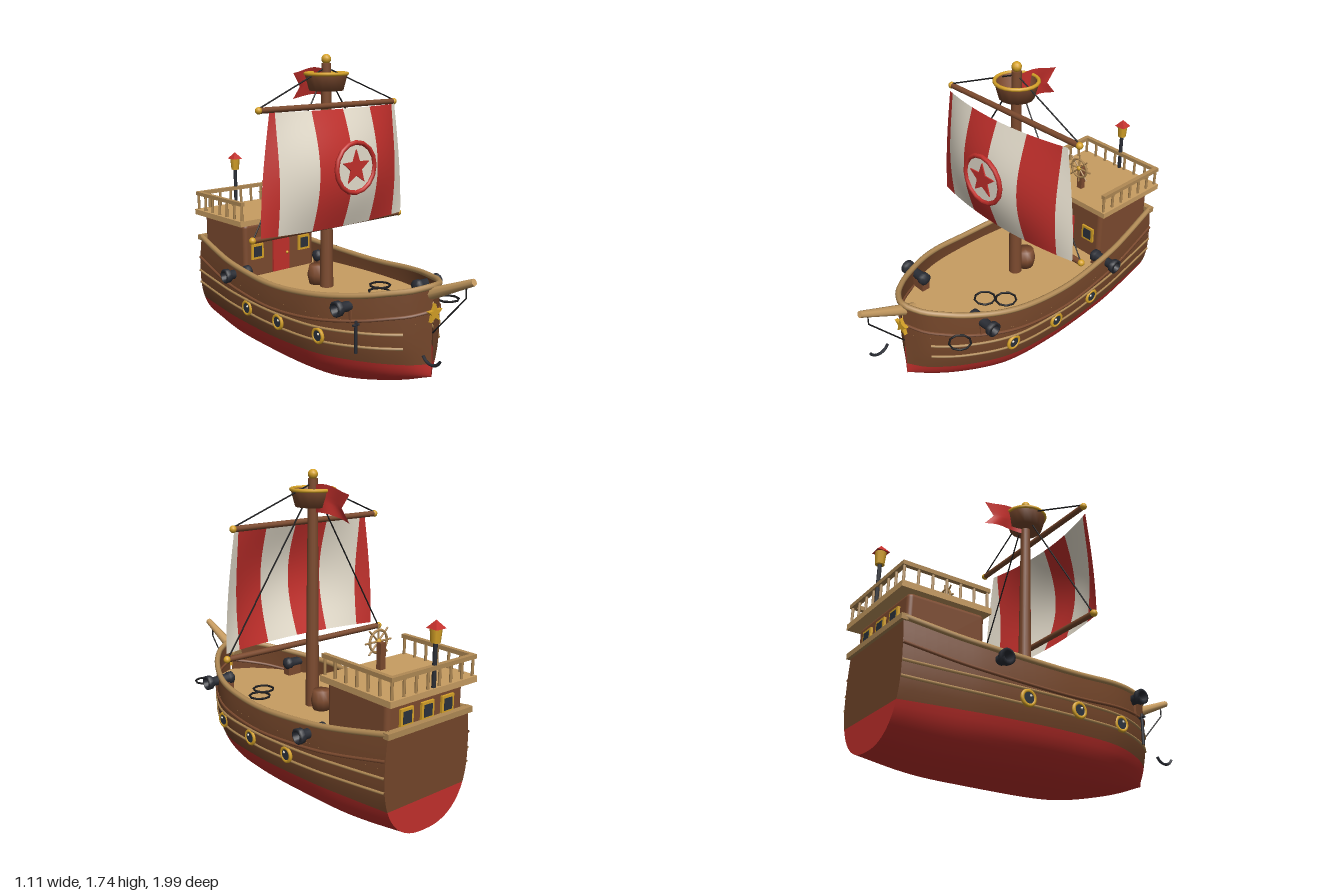
import * as THREE from 'three';
import { RoundedBoxGeometry } from 'three/addons/geometries/RoundedBoxGeometry.js';

const V = (x, y, z) => new THREE.Vector3(x, y, z);
const mat = (color) => new THREE.MeshStandardMaterial({ color, side: THREE.DoubleSide });

// Hull stations from bow to stern: z, half width, rail height, keel height
const STATIONS = [
  [0.735, 0.005, 0.625, 0.15], [0.68, 0.11, 0.605, 0.13], [0.6, 0.19, 0.59, 0.1], [0.5, 0.26, 0.57, 0.07],
  [0.35, 0.335, 0.55, 0.035], [0.2, 0.375, 0.535, 0.01], [0, 0.388, 0.52, 0], [-0.2, 0.386, 0.52, 0],
  [-0.5, 0.36, 0.54, 0], [-0.7, 0.33, 0.565, 0.01], [-0.95, 0.29, 0.61, 0.045],
];
const topCurve = new THREE.CatmullRomCurve3(STATIONS.map(([z, w, s]) => V(w, s, z)), false, 'catmullrom');
const keelCurve = new THREE.CatmullRomCurve3(STATIONS.map(([z, , , k]) => V(0, k, z)), false, 'catmullrom');
const station = (t) => {
  const p = topCurve.getPoint(t);
  return { z: p.z, w: p.x, sheer: p.y, keel: Math.max(0, keelCurve.getPoint(t).y) };
};
const WATERLINE = 0.22, DECK = 0.44;

// Half width of the hull at a station and height: round bilge, slight tumblehome
function halfWidth(s, y) {
  if (y > 0.4) return s.w * (1 - 1.2 * (y - 0.4) ** 2);
  const q = Math.min(1, (0.4 - y) / (0.4 - s.keel));
  return s.w * (1 - q ** 2.4) ** (1 / 2.4);
}
function tAtZ(z) {
  let a = 0, b = 1;
  for (let i = 0; i < 30; i++) {
    const m = (a + b) / 2;
    if (station(m).z > z) a = m; else b = m;
  }
  return a;
}

// Smooth surface from fn(u, v); faces point along du x dv
function grid(nu, nv, fn) {
  const pos = [], index = [];
  for (let i = 0; i <= nu; i++) for (let j = 0; j <= nv; j++) pos.push(...fn(i / nu, j / nv));
  for (let i = 0; i < nu; i++) for (let j = 0; j < nv; j++) {
    const a = i * (nv + 1) + j, b = a + nv + 1;
    index.push(a, b, b + 1, a, b + 1, a + 1);
  }
  const g = new THREE.BufferGeometry();
  g.setAttribute('position', new THREE.Float32BufferAttribute(pos, 3));
  g.setIndex(index);
  g.computeVertexNormals();
  return g;
}

function starShape(r) {
  const s = new THREE.Shape();
  for (let i = 0; i < 10; i++) {
    const a = Math.PI / 2 + (i * Math.PI) / 5, q = i % 2 ? r * 0.42 : r;
    s[i ? 'lineTo' : 'moveTo'](q * Math.cos(a), q * Math.sin(a));
  }
  return s;
}

export function createModel() {
  const ship = new THREE.Group();
  ship.name = 'sailingShip';
  const wood = mat(0x7d4b2f), hullWood = mat(0x74462a), tan = mat(0xc89d62), trim = mat(0xb18a55), red = mat(0xc4302c),
    cream = mat(0xe8e0cf), gold = mat(0xd6a227), iron = mat(0x2a2d35), rope = mat(0x1c1c1e), glass = mat(0x2b323c);

  const add = (name, geo, m, x = 0, y = 0, z = 0, rx = 0, ry = 0, rz = 0) => {
    const mesh = new THREE.Mesh(geo, m);
    mesh.name = name;
    mesh.position.set(x, y, z);
    mesh.rotation.set(rx, ry, rz);
    ship.add(mesh);
    return mesh;
  };
  const box = (name, w, h, d, m, x, y, z) => add(name, new THREE.BoxGeometry(w, h, d), m, x, y, z);
  const ball = (name, r, m, x, y, z) => add(name, new THREE.SphereGeometry(r, 12, 8), m, x, y, z);
  // Round bar between two points
  const bar = (name, a, b, ra, rb, m, sides = 10) => {
    const mesh = add(name, new THREE.CylinderGeometry(rb, ra, a.distanceTo(b), sides), m);
    mesh.position.lerpVectors(a, b, 0.5);
    mesh.quaternion.setFromUnitVectors(V(0, 1, 0), b.clone().sub(a).normalize());
    return mesh;
  };
  const tube = (name, pts, r, m, sides = 6) =>
    add(name, new THREE.TubeGeometry(new THREE.CatmullRomCurve3(pts), pts.length * 2, r, sides), m);

  // Hull skin: red bottom, wooden sides, flat transom
  add('hullBottom', grid(48, 24, (u, v) => {
    const s = station(u), k = 2 * v - 1, y = s.keel + (WATERLINE - s.keel) * k * k;
    return [Math.sign(k) * halfWidth(s, y), y, s.z];
  }), red);
  for (const side of [1, -1]) add('hullSide', grid(48, 8, (u, v) => {
    const s = station(u), y = WATERLINE + (s.sheer - WATERLINE) * (side > 0 ? v : 1 - v);
    return [side * halfWidth(s, y), y, s.z];
  }), hullWood);
  const stern = station(1);
  const transom = (name, y0, y1, m) => add(name, grid(2, 14, (u, v) => {
    const y = y0 + (y1 - y0) * v * v;
    return [(1 - 2 * u) * halfWidth(stern, y), y, stern.z];
  }), m);
  transom('transomBottom', stern.keel, WATERLINE, red);
  transom('transom', WATERLINE, stern.sheer, hullWood);
  add('deck', grid(40, 2, (u, v) => {
    const s = station(u);
    return [(2 * v - 1) * halfWidth(s, DECK), DECK, s.z];
  }), tan);

  // Rail cap around the hull and mouldings along the sides
  const along = (side, t0, t1, yOf, n = 24) => Array.from({ length: n + 1 }, (_, i) => {
    const s = station(t0 + ((t1 - t0) * i) / n), y = yOf(s);
    return V(side * halfWidth(s, y), y, s.z);
  });
  const sheer = (s) => s.sheer + 0.005;
  tube('railCap', [...along(1, 1, 0.02, sheer), ...along(-1, 0.02, 1, sheer)], 0.016, trim, 8);
  box('sternRail', 0.58, 0.03, 0.035, trim, 0, 0.61, -0.95);
  for (const side of [1, -1]) {
    tube('upperMoulding', along(side, 0, 1, (s) => s.sheer - 0.125), 0.009, wood);
    for (const y of [0.375, 0.3])
      tube('strake', along(side, tAtZ(0.66), 1, (s) => y + 0.03 * (s.z * s.z - 0.1)), 0.008, trim);
    // Portholes
    for (const z of [0.275, -0.025, -0.325]) {
      const x = side * (halfWidth(station(tAtZ(z)), 0.33) + 0.004);
      add('portholeRim', new THREE.TorusGeometry(0.036, 0.01, 8, 18), gold, x, 0.33, z, 0, Math.PI / 2);
      add('portholeGlass', new THREE.CylinderGeometry(0.034, 0.034, 0.012, 18), glass, x, 0.33, z, 0, 0, Math.PI / 2);
      ball('portholeGlint', 0.007, cream, x + side * 0.006, 0.342, z + 0.01);
    }
    // Cannons pointing outboard
    const profile = [[0, -0.1], [0.02, -0.098], [0.036, -0.085], [0.036, -0.06], [0.03, -0.055], [0.026, 0.05],
      [0.04, 0.058], [0.042, 0.085], [0.026, 0.09], [0.022, 0.04], [0, 0.04]].map(([x, y]) => new THREE.Vector2(x, y));
    for (const [x, y, z] of [[0.29, 0.512, 0.425], [0.34, 0.49, -0.475]]) {
      add('cannon', new THREE.LatheGeometry(profile, 14), iron, side * x, y, z, 0, 0, (-side * Math.PI) / 2);
      box('cannonMount', 0.09, y - DECK, 0.05, wood, side * (x - 0.04), (y + DECK) / 2 - 0.015, z);
    }
  }

  // Bow: bowsprit, its stay, star ornament
  bar('bowsprit', V(0, 0.56, 0.66), V(0, 0.705, 0.985), 0.033, 0.018, tan, 8);
  bar('bowspritStay', V(0, 0.67, 0.94), V(0, 0.615, 0.94), 0.004, 0.004, rope, 6);
  bar('bowspritStay', V(0, 0.615, 0.94), V(0, 0.385, 0.735), 0.004, 0.004, rope, 6);
  add('bowStar', new THREE.ExtrudeGeometry(starShape(0.052), { depth: 0.02, bevelEnabled: false }), gold, 0, 0.49, 0.733);

  // Anchor and coiled ropes
  bar('anchorShank', V(-0.295, 0.28, 0.49), V(-0.295, 0.45, 0.49), 0.008, 0.008, iron, 8);
  bar('anchorStock', V(-0.315, 0.43, 0.49), V(-0.275, 0.43, 0.49), 0.007, 0.007, iron, 8);
  add('anchorArms', new THREE.TorusGeometry(0.062, 0.008, 6, 12, 2.2), iron, -0.11, 0.335, 0.83, 0, Math.PI / 2, Math.PI + 0.47);
  for (const [x, z] of [[0.1, 0.25], [0.185, 0.17], [0.285, 0.585]])
    add('ropeCoil', new THREE.TorusGeometry(0.058, 0.006, 6, 9), rope, x, 0.465, z, Math.PI / 2);

  // Stern cabin with door and windows
  add('cabin', new RoundedBoxGeometry(0.52, 0.34, 0.42, 3, 0.025), wood, 0, 0.59, -0.715);
  box('cabinDoor', 0.12, 0.21, 0.02, red, 0, 0.55, -0.503);
  ball('doorKnob', 0.009, gold, 0.04, 0.55, -0.49);
  const windowAt = (x, y, z, dir) => {
    box('windowFrame', 0.085, 0.09, 0.02, gold, x, y, z);
    box('windowPane', 0.056, 0.062, 0.008, glass, x, y, z + dir * 0.009);
  };
  for (const x of [-0.175, 0.175]) windowAt(x, 0.59, -0.503, 1);
  for (const x of [-0.14, 0, 0.14]) windowAt(x, 0.665, -0.928, -1);

  // Poop deck and railing
  box('poopDeck', 0.59, 0.032, 0.49, tan, 0, 0.77, -0.735);
  const post = (x, z) => bar('railPost', V(x, 0.78, z), V(x, 0.885, z), 0.008, 0.008, trim, 6);
  for (const side of [1, -1]) {
    box('sideRail', 0.025, 0.022, 0.48, trim, side * 0.275, 0.885, -0.735);
    for (let i = 0; i < 7; i++) post(side * 0.275, -0.505 - i * 0.0767);
  }
  box('backRail', 0.575, 0.022, 0.025, trim, 0, 0.885, -0.965);
  for (let i = 1; i < 7; i++) post(-0.275 + (i * 0.55) / 7, -0.965);

  // Steering wheel
  box('wheelPost', 0.035, 0.14, 0.03, wood, 0, 0.855, -0.612);
  add('wheelRim', new THREE.TorusGeometry(0.058, 0.007, 6, 20), trim, 0, 0.925, -0.59);
  ball('wheelHub', 0.015, gold, 0, 0.925, -0.59);
  for (let i = 0; i < 4; i++) {
    const a = (i * Math.PI) / 4, d = V(Math.cos(a) * 0.088, Math.sin(a) * 0.088, 0), c = V(0, 0.925, -0.59);
    bar('wheelSpoke', c.clone().sub(d), c.clone().add(d), 0.005, 0.005, trim, 6);
  }

  // Stern lantern
  bar('lanternPole', V(0, 0.78, -0.965), V(0, 1.01, -0.965), 0.011, 0.011, iron, 8);
  add('lantern', new THREE.CylinderGeometry(0.03, 0.024, 0.07, 8), gold, 0, 1.04, -0.965);
  const roof = new THREE.ConeGeometry(0.047, 0.04, 4).toNonIndexed();
  roof.computeVertexNormals();
  add('lanternRoof', roof, red, 0, 1.094, -0.965, 0, Math.PI / 4);

  // Mast, barrel at its foot, crow's nest
  const MZ = -0.075;
  bar('mast', V(0, DECK, MZ), V(0, 1.69, MZ), 0.038, 0.026, wood, 14);
  ball('mastBall', 0.027, gold, 0, 1.712, MZ);
  const barrel = [[0, 0], [0.048, 0], [0.06, 0.055], [0.048, 0.11], [0, 0.11]].map(([x, y]) => new THREE.Vector2(x, y));
  add('barrel', new THREE.LatheGeometry(barrel, 12), wood, 0, DECK, -0.155);
  const nest = [[0, 0], [0.093, 0], [0.117, 0.09], [0.103, 0.09], [0.085, 0.02], [0, 0.02]].map(([x, y]) => new THREE.Vector2(x, y));
  add('crowsNest', new THREE.LatheGeometry(nest, 14), wood, 0, 1.545, MZ);
  add('nestRim', new THREE.TorusGeometry(0.114, 0.01, 8, 20), gold, 0, 1.635, MZ, Math.PI / 2);

  // Swallow-tailed flag
  add('flag', grid(12, 8, (u, v) => {
    const reach = 0.2 + 0.06 * Math.abs(2 * v - 1);
    return [0.014 * Math.sin(u * 6) * (1 - v), 1.515 + 0.145 * v - 0.024 * u * u + 0.008 * Math.sin(u * 5), -0.1 - u * reach];
  }), red);

  // Yards and rigging
  for (const [y, half] of [[1.465, 0.48], [0.8, 0.535]]) {
    bar('yard', V(-half, y, -0.038), V(half, y, -0.038), 0.016, 0.016, wood);
    for (const side of [1, -1]) ball('yardEnd', 0.019, gold, side * half, y, -0.038);
  }
  for (const side of [1, -1]) {
    bar('upperLift', V(side * 0.02, 1.66, MZ), V(side * 0.47, 1.478, -0.04), 0.004, 0.004, rope, 6);
    bar('lowerLift', V(side * 0.06, 1.56, MZ), V(side * 0.525, 0.812, -0.04), 0.004, 0.004, rope, 6);
  }

  // Billowing sail made of vertical stripes
  const edges = [-1, -0.415, -0.207, 0, 0.207, 0.415, 1];
  for (let i = 0; i < 6; i++) add('sailStripe', grid(8, 20, (u, v) => {
    const half = 0.445 + 0.065 * Math.sin(((1 - v) * Math.PI) / 2);
    const a = Math.max(edges[i], -half), b = Math.min(edges[i + 1], half), x = a + (b - a) * u;
    return [x, 0.815 + 0.64 * v, 0.003 + (1 - (x / half) ** 2) * (0.058 + 0.082 * Math.sin(v * Math.PI))];
  }), i % 2 ? cream : red);

  // Round star emblem in front of the sail
  add('emblemDisc', new THREE.CylinderGeometry(0.135, 0.135, 0.012, 16), cream, 0, 1.15, 0.158, Math.PI / 2);
  add('emblemRing', new THREE.TorusGeometry(0.135, 0.013, 8, 16), red, 0, 1.15, 0.165);
  add('emblemStar', new THREE.ExtrudeGeometry(starShape(0.098), { depth: 0.008, bevelEnabled: false }), red, 0, 1.15, 0.163);
  return ship;
}
